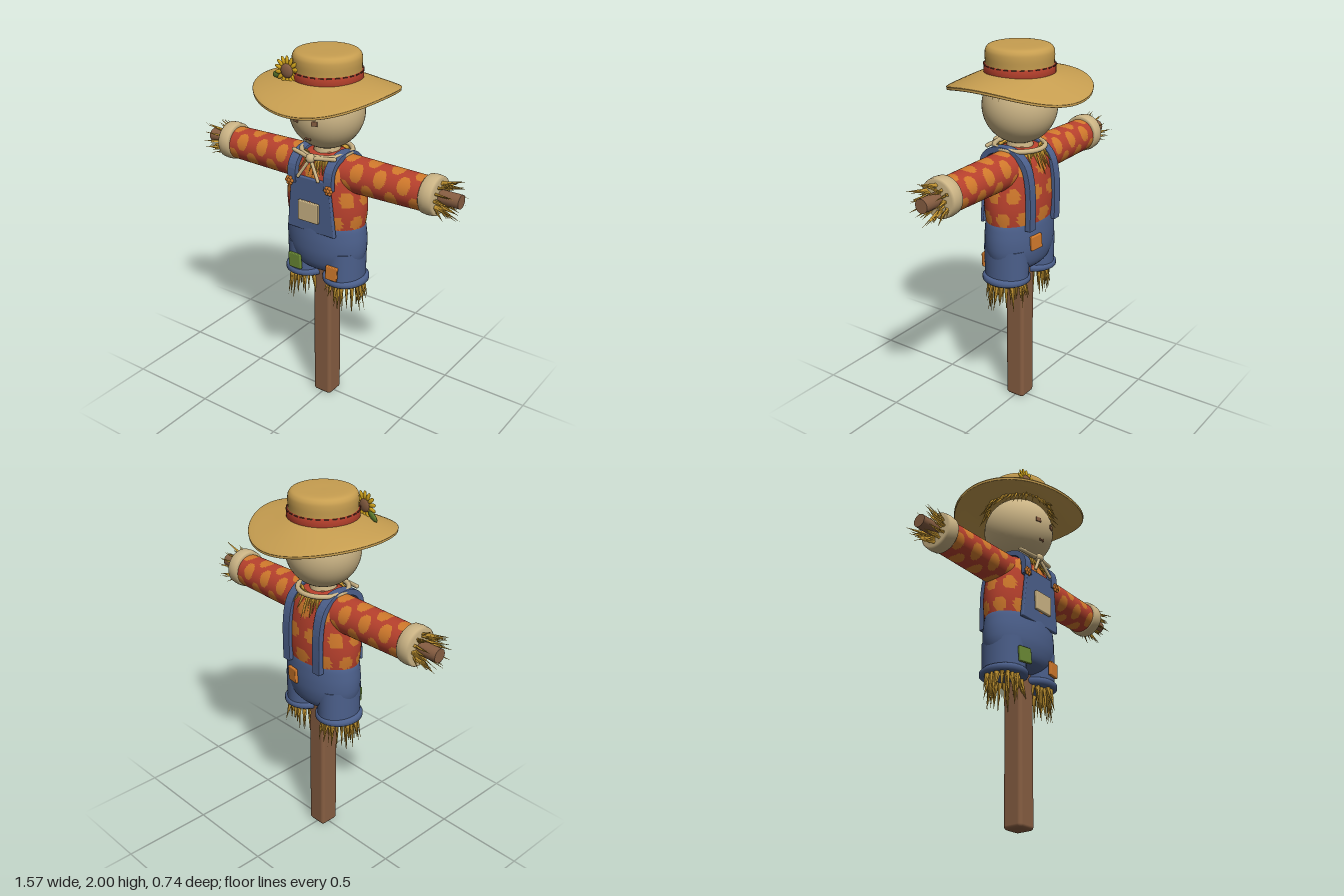
import * as THREE from 'three';
import { mergeGeometries } from 'three/addons/utils/BufferGeometryUtils.js';
import { RoundedBoxGeometry } from 'three/addons/geometries/RoundedBoxGeometry.js';

const mat = (name, color) => Object.assign(new THREE.MeshStandardMaterial({ color }), { name });
const WOOD = mat('wood brown', 0x875e42), RED = mat('shirt red', 0xb8412d), ORANGE = mat('patch orange', 0xd27a2c);
const BLUE = mat('denim blue', 0x4c608c), HAT = mat('hat tan', 0xc79e50), BURLAP = mat('burlap beige', 0xcbb485);
const STRAW = mat('straw gold', 0xd3a136), PETAL = mat('petal yellow', 0xe0b020), GREEN = mat('leaf green', 0x6b8a35);
const DARK = mat('thread dark', 0x5a2c20);

let seed = 7;
const rnd = () => (seed = (seed * 16807) % 2147483647) / 2147483647;
const V = (x, y, z) => new THREE.Vector3(x, y, z);

export function createModel() {
  const root = new THREE.Group();
  root.name = 'scarecrow';

  const add = (name, geo, material, x = 0, y = 0, z = 0) => {
    const m = new THREE.Mesh(geo, material);
    m.name = name;
    m.position.set(x, y, z);
    root.add(m);
    return m;
  };
  // Smooth lathe from a short profile of [radius, height], listed bottom to top
  const lathe = (pts, smooth = true, seg = 48) => {
    let p = pts.map(a => new THREE.Vector2(...a));
    if (smooth) p = new THREE.SplineCurve(p).getPoints(30);
    p.forEach(q => { q.x = Math.max(q.x, 0); });
    return new THREE.LatheGeometry(p, seg);
  };
  // Rod with rounded ends between two points
  const rod = (a, b, r) => {
    const d = b.clone().sub(a);
    const g = new THREE.CapsuleGeometry(r, d.length(), 4, 10);
    g.applyQuaternion(new THREE.Quaternion().setFromUnitVectors(V(0, 1, 0), d.normalize()));
    const c = a.clone().add(b).multiplyScalar(0.5);
    return g.translate(c.x, c.y, c.z);
  };
  // Bundle of thin blades; place(t) gives base and tip
  const straw = (name, n, w, place) => {
    const blades = [];
    for (let i = 0; i < n; i++) {
      const [a, b] = place(i / n);
      const d = b.clone().sub(a), len = d.length();
      const g = new THREE.ConeGeometry(w * (0.7 + 0.6 * rnd()), len, 4).translate(0, len / 2, 0);
      g.applyQuaternion(new THREE.Quaternion().setFromUnitVectors(V(0, 1, 0), d.normalize()));
      blades.push(g.translate(a.x, a.y, a.z));
    }
    return add(name, mergeGeometries(blades), STRAW);
  };
  // Sort the faces into cloth (group 0) and dots (group 1)
  const dotted = (geo, isDot) => {
    const sets = [[], []], idx = geo.index.array, p = geo.attributes.position;
    for (let i = 0; i < idx.length; i += 3) {
      const c = V(0, 0, 0);
      for (let k = 0; k < 3; k++) c.add(V(0, 0, 0).fromBufferAttribute(p, idx[i + k]));
      sets[isDot(c.divideScalar(3)) ? 1 : 0].push(idx[i], idx[i + 1], idx[i + 2]);
    }
    geo.setIndex([...sets[0], ...sets[1]]);
    geo.clearGroups();
    geo.addGroup(0, sets[0].length, 0);
    geo.addGroup(sets[0].length, sets[1].length, 1);
    return geo;
  };
  // Distance to the nearest of n dots around a ring
  const around = (ang, n, shift) => {
    const u = ang * n / (2 * Math.PI) + shift;
    return (u - Math.round(u)) * 2 * Math.PI / n;
  };

  // Post and crossbar
  add('post', new RoundedBoxGeometry(0.114, 1.5, 0.114, 3, 0.02), WOOD, 0, 0.75, 0);
  add('crossbar', new THREE.CylinderGeometry(0.036, 0.036, 1.55, 20).rotateZ(Math.PI / 2), WOOD, 0, 1.39, 0);

  // Shirt body with staggered dots
  const torso = lathe([[0.215, 1.06], [0.232, 1.16], [0.232, 1.25], [0.218, 1.35], [0.19, 1.43], [0.13, 1.475], [0.05, 1.49]], true, 72);
  torso.scale(1, 1, 0.66);
  add('shirtBody', dotted(torso, c => {
    const row = Math.round((c.y - 1.14) / 0.13);
    const da = around(Math.atan2(c.x, c.z / 0.66), 10, (row & 1) / 2) * 0.2;
    return (da / 0.042) ** 2 + ((c.y - 1.14 - row * 0.13) / 0.042) ** 2 < 1;
  }), [RED, ORANGE]);

  for (const s of [1, -1]) {
    const side = s > 0 ? 'left' : 'right';
    // Sleeve with dots
    const sleeve = new THREE.CylinderGeometry(0.088, 0.097, 0.5, 60, 64, true)
      .rotateZ(-s * Math.PI / 2).translate(s * 0.35, 1.385, 0);
    add(side + 'Sleeve', dotted(sleeve, c => {
      const k = Math.round((Math.abs(c.x) - 0.3) / 0.067);
      const da = around(Math.atan2(c.z, c.y - 1.385), 3, (k & 1) / 2) * 0.093;
      for (const j of [k - 1, k, k + 1]) {
        const e = around(Math.atan2(c.z, c.y - 1.385), 3, (j & 1) / 2) * 0.093;
        if (((Math.abs(c.x) - 0.3 - j * 0.067) / 0.035) ** 2 + (e / 0.05) ** 2 < 1) return true;
      }
      return false;
    }), [RED, ORANGE]);
    // Burlap cuff at the wrist
    const cuff = lathe([[0, -0.038], [0.09, -0.038], [0.099, -0.03], [0.102, 0], [0.099, 0.03], [0.09, 0.04], [0, 0.04]], false);
    add(side + 'Cuff', cuff.rotateZ(-s * Math.PI / 2), BURLAP, s * 0.625, 1.39, 0);
    // Straw hand
    straw(side + 'HandStraw', 60, 0.009, t => {
      const a = t * Math.PI * 2 * 5, r = 0.035 + 0.035 * rnd(), f = r + 0.005 + 0.045 * rnd();
      return [V(s * 0.655, 1.39 + r * Math.cos(a), r * Math.sin(a)),
        V(s * (0.7 + 0.085 * rnd()), 1.385 + f * Math.cos(a), f * Math.sin(a))];
    });
    // Trouser leg, rolled hem and straw below it
    add(side + 'Leg', new THREE.CylinderGeometry(0.105, 0.102, 0.18, 36).scale(1, 1, 1.2), BLUE, s * 0.12, 0.87, 0);
    add(side + 'Hem', lathe([[0, 0.766], [0.112, 0.766], [0.122, 0.774], [0.122, 0.792], [0.114, 0.802], [0.09, 0.805]], false)
      .scale(1, 1, 1.07), BLUE, s * 0.122, 0, 0);
    straw(side + 'LegStraw', 60, 0.012, t => {
      const a = t * Math.PI * 2 * 3, r = 0.06 + 0.035 * rnd(), f = r + 0.045 * rnd() - 0.005;
      return [V(s * 0.125 + r * Math.cos(a), 0.775, r * Math.sin(a)),
        V(s * 0.125 + f * Math.cos(a), 0.59 + 0.11 * rnd(), f * Math.sin(a))];
    });
    // Strap: side outline thickened and pushed across the width
    const path = new THREE.CatmullRomCurve3([V(0.15, 1.33, 0), V(0.14, 1.42, 0), V(0.1, 1.465, 0), V(0.03, 1.485, 0),
      V(-0.05, 1.475, 0), V(-0.115, 1.42, 0), V(-0.143, 1.33, 0), V(-0.15, 1.2, 0), V(-0.148, 1.08, 0)]);
    const outer = [], inner = [];
    for (let i = 0; i <= 32; i++) {
      const p = path.getPoint(i / 32), t = path.getTangent(i / 32);
      outer.push(new THREE.Vector2(p.x + t.y * 0.008, p.y - t.x * 0.008));
      inner.unshift(new THREE.Vector2(p.x - t.y * 0.016, p.y + t.x * 0.016));
    }
    const strap = new THREE.ExtrudeGeometry(new THREE.Shape([...outer, ...inner]),
      { depth: 0.044, bevelSize: 0.004, bevelThickness: 0.004, bevelSegments: 2 });
    add(side + 'Strap', strap.translate(0, 0, -0.022).rotateY(-Math.PI / 2), BLUE, s * 0.112, 0, 0);
    // Flower-shaped button
    const button = [new THREE.SphereGeometry(0.012, 10, 8).scale(1, 1, 0.7)];
    for (let i = 0; i < 6; i++) button.push(new THREE.SphereGeometry(0.011, 10, 8).scale(1, 1, 0.6)
      .translate(0.016 * Math.cos(i * Math.PI / 3), 0.016 * Math.sin(i * Math.PI / 3), -0.002));
    add(side + 'Button', mergeGeometries(button), ORANGE, s * 0.122, 1.335, 0.165);
    // Eye with stitched cross
    add(side + 'Eye', new THREE.BoxGeometry(0.032, 0.024, 0.008), WOOD, s * 0.056, 1.68, 0.185).rotation.y = s * 0.29;
  }

  // Trousers
  add('trousers', lathe([[0, 0.81], [0.12, 0.82], [0.195, 0.86], [0.228, 0.93], [0.235, 1.0], [0.231, 1.06], [0.224, 1.1], [0.21, 1.115], [0.15, 1.115]])
    .scale(1, 1, 0.66), BLUE);

  // Bib, tapered upward and curved round the chest
  const bib = new RoundedBoxGeometry(0.3, 0.3, 0.02, 6, 0.006);
  const bend = (geo, taper, k) => {
    const p = geo.attributes.position;
    for (let i = 0; i < p.count; i++) {
      const x = p.getX(i) * (1 - taper * (p.getY(i) + 0.15));
      p.setXYZ(i, x, p.getY(i), p.getZ(i) - k * x * x);
    }
    geo.computeVertexNormals();
    return geo;
  };
  add('bib', bend(bib, 0.75, 0.8), BLUE, 0, 1.22, 0.156);

  // Patches sewn on the clothes
  const patch = (name, w, h, m, x, y, z, ry, rz = 0) =>
    add(name, new RoundedBoxGeometry(w, h, 0.018, 2, 0.005), m, x, y, z).rotation.set(0, ry, rz);
  patch('bibPocket', 0.125, 0.11, BURLAP, 0, 1.19, 0.166, 0);
  patch('greenPatch', 0.084, 0.084, GREEN, -0.115, 0.86, 0.134, -0.1, 0.08);
  patch('orangePatch', 0.068, 0.08, ORANGE, 0.122, 0.855, 0.134, 0.1, -0.06);
  patch('backPatch', 0.075, 0.08, ORANGE, 0.07, 1.0, -0.152, Math.PI - 0.2, 0.08);

  // Neck, collar straw and tied rope
  add('neck', new THREE.CylinderGeometry(0.06, 0.075, 0.08, 24), BURLAP, 0, 1.49, 0);
  straw('collarStraw', 56, 0.011, t => {
    const a = t * Math.PI * 2, f = 0.02 + 0.05 * rnd();
    return [V(0.11 * Math.cos(a), 1.48, 0.1 * Math.sin(a)),
      V((0.115 + f) * Math.cos(a), 1.34 + 0.07 * rnd(), (0.125 + f * 0.7) * Math.sin(a))];
  });
  add('neckRope', new THREE.TorusGeometry(0.13, 0.013, 10, 48).rotateX(Math.PI / 2), BURLAP, 0, 1.483, 0);
  add('ropeKnot', new THREE.SphereGeometry(0.025, 16, 12), BURLAP, 0, 1.476, 0.143);
  for (const s of [1, -1]) {
    add('ropeLoop', rod(V(0, 1.476, 0.143), V(s * 0.125, 1.488, 0.115), 0.011), BURLAP);
    add('ropeTail', rod(V(0, 1.476, 0.145), V(s * 0.062, 1.375, 0.168), 0.009), BURLAP);
  }

  // Head and mouth stitches
  add('head', new THREE.SphereGeometry(0.193, 48, 32), BURLAP, 0, 1.69, 0);
  add('mouth', new THREE.BoxGeometry(0.034, 0.006, 0.008), WOOD, 0, 1.585, 0.163);
  for (const x of [-0.012, 0.012]) add('mouthStitch', new THREE.BoxGeometry(0.005, 0.016, 0.008), WOOD, x, 1.585, 0.163);

  // Straw hair under the hat
  straw('hairStraw', 60, 0.009, t => {
    const a = t * Math.PI * 2, r = 0.16 + 0.02 * rnd(), f = 0.2 + 0.03 * rnd();
    return [V(r * Math.cos(a), 1.845, r * Math.sin(a)), V(f * Math.cos(a + 0.1), 1.75 + 0.05 * rnd(), f * Math.sin(a + 0.1))];
  });

  // Hat: wavy brim, crown and band
  const brim = lathe([[0.05, 1.835], [0.17, 1.838], [0.26, 1.82], [0.355, 1.787], [0.364, 1.796], [0.358, 1.808], [0.26, 1.842], [0.17, 1.866], [0.12, 1.868]], true, 96);
  const bp = brim.attributes.position;
  for (let i = 0; i < bp.count; i++) {
    const x = bp.getX(i), z = bp.getZ(i), a = Math.atan2(x, z), k = Math.max(0, (Math.hypot(x, z) - 0.16) / 0.2);
    bp.setY(i, bp.getY(i) - k * (0.031 * Math.cos(2 * a) + 0.006 * Math.sin(3 * a)));
  }
  brim.computeVertexNormals();
  add('hatBrim', brim, HAT);
  add('hatCrown', lathe([[0.174, 1.845], [0.172, 1.9], [0.174, 1.95], [0.168, 1.98], [0.145, 1.996], [0.08, 2.0], [0, 2.0]]), HAT);
  add('hatBand', lathe([[0.172, 1.86], [0.181, 1.864], [0.18, 1.9], [0.172, 1.904]], false), RED);
  for (let i = 0; i < 28; i++) {
    const a = i * Math.PI / 14;
    add('bandStitch', new THREE.BoxGeometry(0.024, 0.005, 0.006), DARK, 0.179 * Math.sin(a), 1.901, 0.179 * Math.cos(a)).rotation.y = a;
  }

  // Sunflower and leaf on the hat
  const petals = [];
  for (let i = 0; i < 14; i++) petals.push(new THREE.SphereGeometry(1, 10, 8).scale(0.011, 0.023, 0.006)
    .translate(0, 0.052, 0).rotateZ(i * Math.PI / 7));
  add('flowerPetals', mergeGeometries(petals), PETAL, -0.126, 1.905, 0.157);
  add('flowerCentre', new THREE.SphereGeometry(1, 20, 12).scale(0.036, 0.036, 0.014), WOOD, -0.126, 1.905, 0.16);
  add('flowerLeaf', new THREE.SphereGeometry(1, 14, 10).scale(0.042, 0.018, 0.008), GREEN, -0.2, 1.872, 0.138).rotation.set(0, -0.25, 0.3);

  return root;
}
